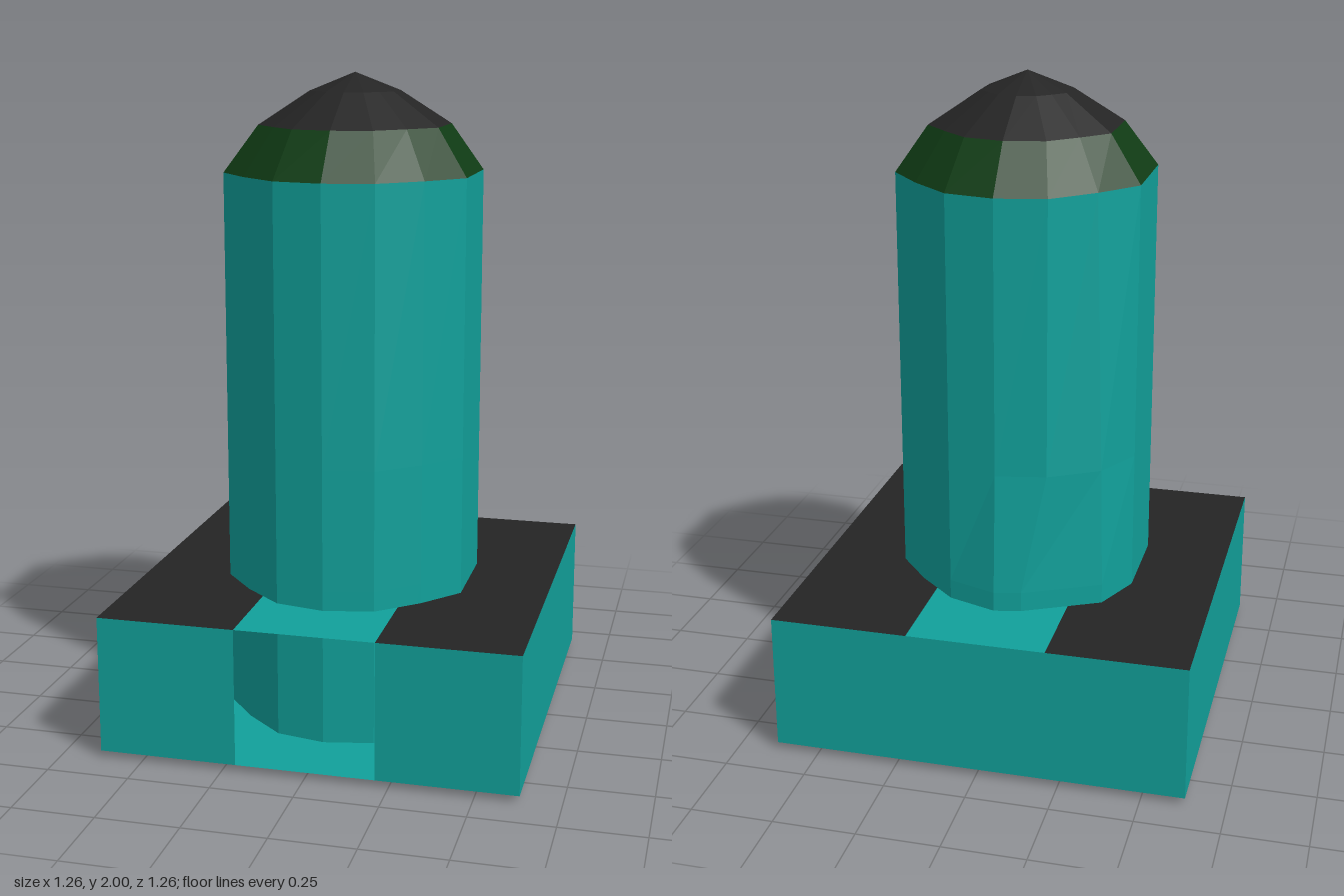
import * as THREE from 'three';

const material = (color) => new THREE.MeshStandardMaterial({ color, flatShading: true, side: THREE.DoubleSide });

// Skin a stack of equal-length rings of [x, y, z]; a one-point ring closes an end
function loft(rings) {
  const n = Math.max(...rings.map((r) => r.length));
  const pos = [];
  for (let i = 0; i < rings.length - 1; i++) {
    const lo = rings[i], hi = rings[i + 1];
    for (let j = 0; j < n; j++) {
      const k = (j + 1) % n;
      const a = lo[j % lo.length], b = lo[k % lo.length];
      const c = hi[k % hi.length], d = hi[j % hi.length];
      if (lo.length > 1) pos.push(...a, ...b, ...c);
      if (hi.length > 1) pos.push(...a, ...c, ...d);
    }
  }
  const g = new THREE.BufferGeometry();
  g.setAttribute('position', new THREE.Float32BufferAttribute(pos, 3));
  g.computeVertexNormals();
  return g;
}

// Half outline [x, z] from front to back, mirrored into a full ring
function outline(half) {
  const mirrored = half.slice(1, -1).reverse().map(([x, z]) => [-x, z]);
  return [...half, ...mirrored];
}
const level = (points, y) => points.map(([x, z]) => [x, y, z]);

export function createModel() {
  const model = new THREE.Group();
  const teal = material(0x11a09a), green = material(0x103c15), dark = material(0x242424);

  const add = (name, geometry, mat) => {
    const mesh = new THREE.Mesh(geometry, mat);
    mesh.name = name;
    model.add(mesh);
    return mesh;
  };

  // Hollow base: open in the middle of the front
  const S = 0.63, W = 0.21, Y0 = 0.02, Y1 = 0.44;
  const H = Y1 - Y0, midY = (Y0 + Y1) / 2, padW = S - W;
  const panel = (name, w, h, position, rotation, mat = teal) => {
    const mesh = add(name, new THREE.PlaneGeometry(w, h), mat);
    mesh.position.set(...position);
    mesh.rotation.set(...rotation);
  };
  panel('baseFloor', 2 * S, 2 * S, [0, Y0, 0], [Math.PI / 2, 0, 0]);
  panel('baseBack', 2 * S, H, [0, midY, -S], [0, Math.PI, 0]);
  panel('baseTopStrip', 2 * W, 2 * S, [0, Y1, 0], [-Math.PI / 2, 0, 0]);
  for (const [side, s] of [['left', 1], ['right', -1]]) {
    const x = s * (W + padW / 2);
    panel(side + 'BaseTop', padW, 2 * S, [x, Y1, 0], [-Math.PI / 2, 0, 0], dark);
    panel(side + 'BaseFront', padW, H, [x, midY, S], [0, 0, 0]);
    panel(side + 'BaseSide', 2 * S, H, [s * S, midY, 0], [0, s * Math.PI / 2, 0]);
  }

  // Column, with its back right side flaring out towards the foot
  const body = outline([[0, 0.415], [0.15, 0.385], [0.27, 0.28], [0.37, 0.16],
    [0.37, -0.13], [0.27, -0.25], [0.15, -0.36], [0, -0.39]]);
  const flare = (t, tBack) => body.map(([x, z], j) => {
    if (j === 9) return [x - 0.035 * t, z - 0.03 * t];
    if (j === 8) return [x + 0.07 * tBack, z - 0.035 * tBack];
    if (j === 7) return [x, z - 0.022 * tBack];
    return [x, z];
  });
  add('column', loft([
    [[0, 0, 0]],
    level(flare(1, 1), 0),
    level(flare(1, 1), 0.5),
    level(flare(0.75, 0), 0.87),
    level(body, 1.705),
  ]), teal);

  // Sloped shoulder band
  const rim = outline([[0, 0.31], [0.12, 0.285], [0.2, 0.2], [0.275, 0.11],
    [0.275, -0.1], [0.2, -0.18], [0.12, -0.255], [0, -0.28]]);
  add('shoulderBand', loft([level(body, 1.705), level(rim, 1.845)]), green);

  // Faceted cap rising to a point
  const inner = rim.map(([x, z]) => [x * 0.47, 0.01 + (z - 0.01) * 0.47]);
  add('cap', loft([level(rim, 1.845), level(inner, 1.945), [[0, 2, 0.01]]]), dark);

  return model;
}
